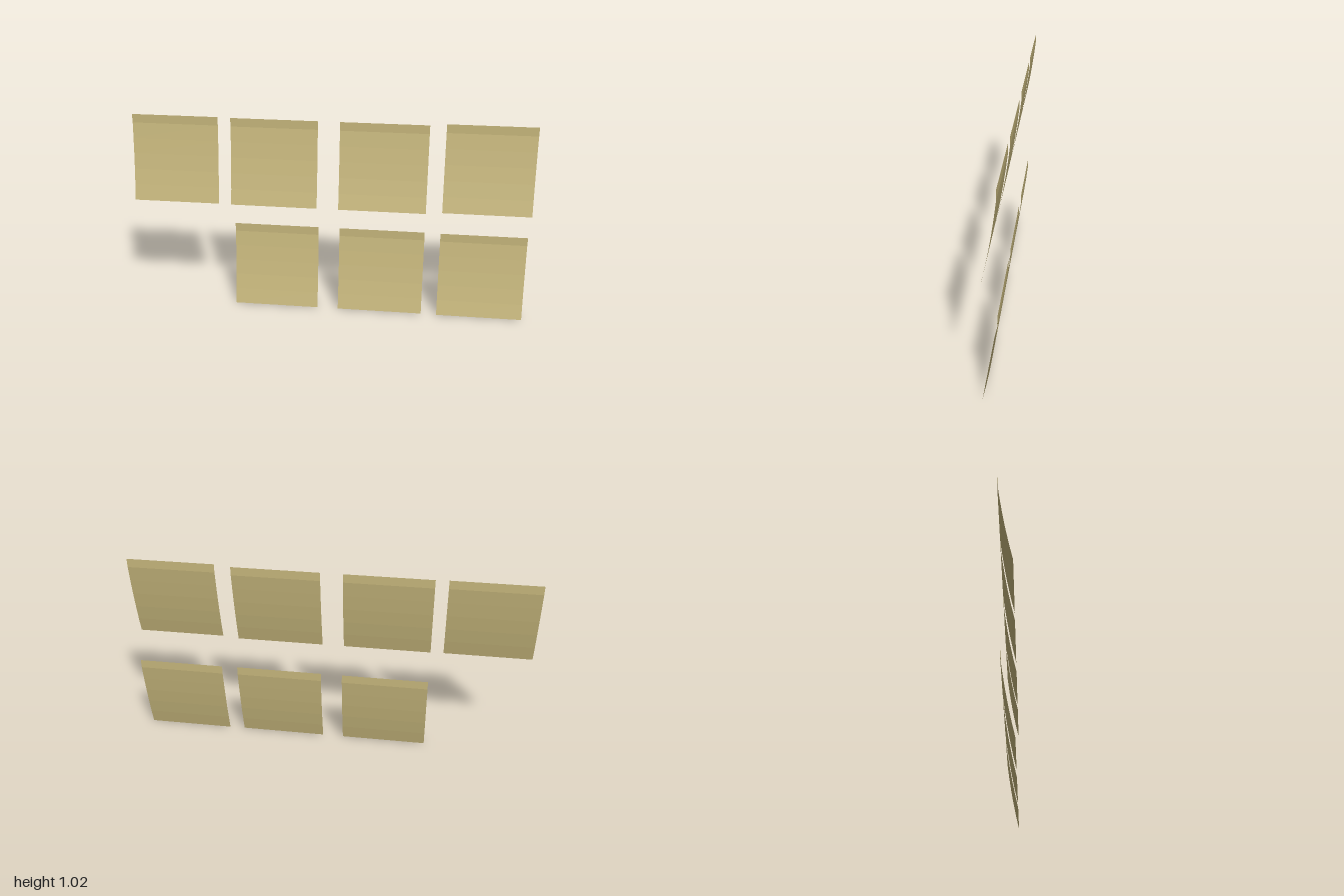
import * as THREE from 'three';

const SIZE = 0.437;

// Side profile from top to bottom: [drop, z]. Upright lip, then a gentle forward flare.
const PROFILE = [
  [0, -0.034], [0.044, -0.034], [0.122, -0.024], [0.2, -0.0125],
  [0.279, 0.001], [0.358, 0.0165], [SIZE, 0.034],
];

// Thin sheet bent along the profile, origin at the bottom centre
function sheetGeometry() {
  const rows = PROFILE.length - 1;
  const geometry = new THREE.PlaneGeometry(SIZE, SIZE, 1, rows);
  const position = geometry.attributes.position;
  for (let i = 0; i < position.count; i++) {
    const [drop, z] = PROFILE[Math.floor(i / 2)];
    position.setY(i, SIZE - drop);
    position.setZ(i, z);
  }
  const flat = geometry.toNonIndexed();
  flat.computeVertexNormals();
  return flat;
}

export function createModel() {
  const model = new THREE.Group();
  model.name = 'panelSet';

  const khaki = new THREE.MeshStandardMaterial({
    color: 0xc8b87d, side: THREE.DoubleSide, flatShading: true,
  });
  khaki.name = 'khaki';

  const geometry = sheetGeometry();
  // Centre x and bottom y of every panel
  const rows = {
    upperPanel: [[-0.782, 0.575], [-0.281, 0.573], [0.265, 0.573], [0.782, 0.582]],
    lowerPanel: [[-0.28, 0.002], [0.265, 0.002], [0.782, 0]],
  };
  for (const [name, places] of Object.entries(rows)) {
    places.forEach(([x, y], i) => {
      const panel = new THREE.Mesh(geometry, khaki);
      panel.name = name + (i + 1);
      panel.position.set(x, y, 0);
      model.add(panel);
    });
  }
  return model;
}
